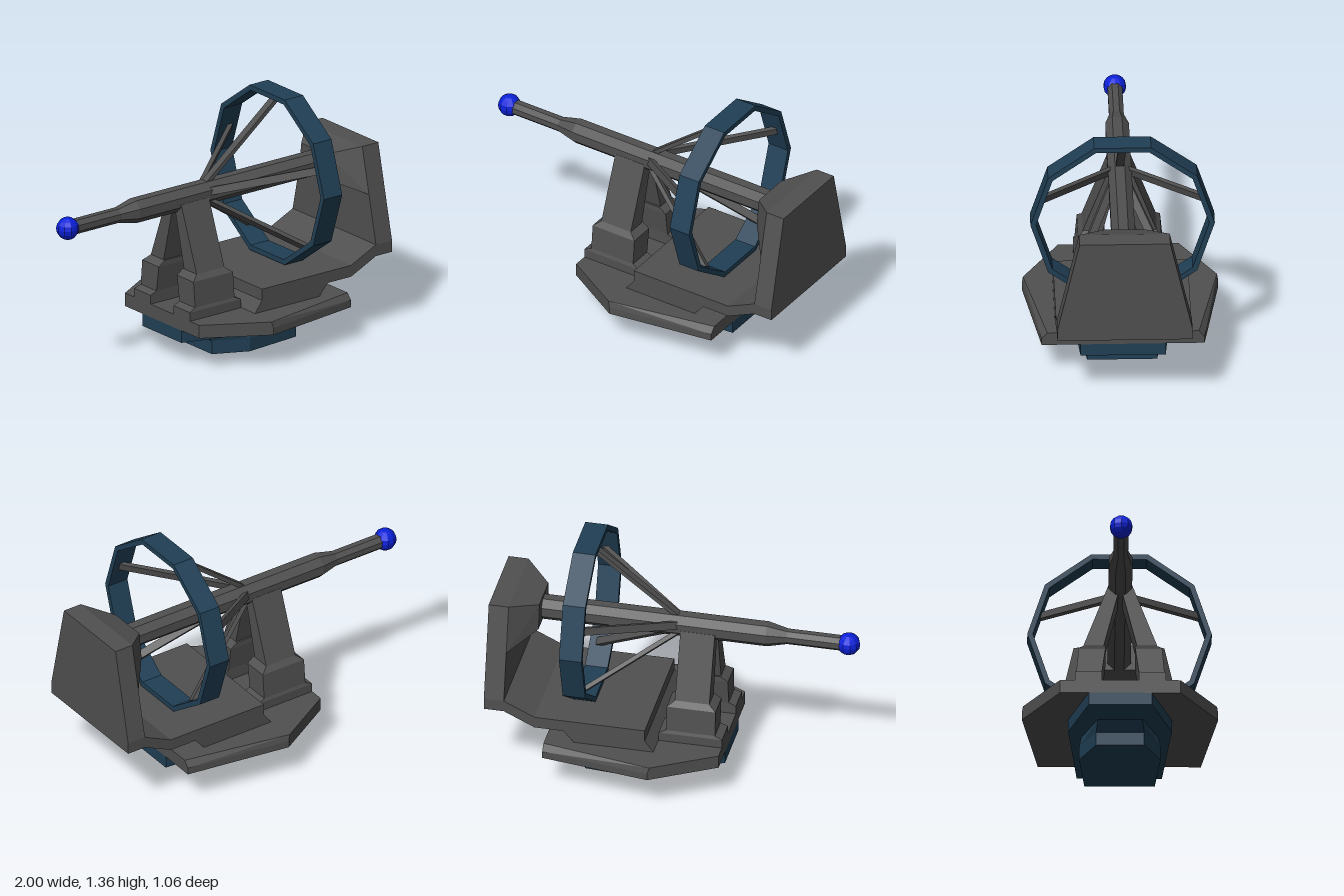
import * as THREE from 'three';
import { ConvexGeometry } from 'three/addons/geometries/ConvexGeometry.js';

const grey = new THREE.MeshStandardMaterial({ color: 0x505050, flatShading: true });
const navy = new THREE.MeshStandardMaterial({ color: 0x203f55, flatShading: true });
const blue = new THREE.MeshStandardMaterial({ color: 0x0a20d8, flatShading: true });

const AXIS_Y = 0.885;

export function createModel() {
  const model = new THREE.Group();
  model.name = 'turret';

  const add = (name, geometry, material = grey, parent = model) => {
    const mesh = new THREE.Mesh(geometry, material);
    mesh.name = name;
    parent.add(mesh);
    return mesh;
  };

  // Convex solid from points
  const hull = (points) => new ConvexGeometry(points.map((p) => new THREE.Vector3(...p)));

  // Outline mirrored over z at one height: list of [x, half width]
  const level = (y, outline) => outline.flatMap(([x, z]) => [[x, y, z], [x, y, -z]]);

  // Rectangle at one height
  const rect = (y, x0, x1, z0, z1) => [[x0, y, z0], [x1, y, z0], [x1, y, z1], [x0, y, z1]];

  // Pedestal, flared at the top
  const foot = [[-0.05, 0.13], [0.14, 0.22], [0.48, 0.19]];
  add('pedestalLower', hull([...level(0, foot), ...level(0.075, foot)]), navy);
  add('pedestalFlare', hull([
    ...level(0.075, foot), ...level(0.13, [[-0.1, 0.12], [0.14, 0.21], [0.51, 0.18]]),
  ]), navy);

  // Bearing plate under the deck
  const bearing = [[-0.29, 0.17], [0.06, 0.28], [0.66, 0.23]];
  add('bearingPlate', hull([...level(0.13, bearing), ...level(0.2, bearing)]), navy);

  // Deck with bevelled rear sides
  const deck = [[-0.29, 0.325], [0.06, 0.53], [0.66, 0.44]];
  add('deck', hull([...level(0.2, deck), ...level(0.24, deck)]));
  add('deckBevel', hull([
    ...level(0.24, deck),
    ...level(0.275, [[-0.29, 0.325], [0.05, 0.524], [0.06, 0.475], [0.66, 0.41]]),
  ]));

  // Arm carrying the counterweight
  const armShape = new THREE.Shape([
    [0.06, 0.272], [0.5, 0.272], [0.56, 0.34], [0.72, 0.34], [0.89, 0.42], [1, 0.42],
    [1, 0.485], [0.89, 0.485], [0.72, 0.405], [0.11, 0.405], [0.11, 0.34],
  ].map(([x, y]) => new THREE.Vector2(x, y)));
  const armGeometry = new THREE.ExtrudeGeometry(armShape, { depth: 0.73, bevelEnabled: false });
  armGeometry.translate(0, 0, -0.365);
  add('counterweightArm', armGeometry);

  // Counterweight slab and the neck that grips the barrel
  add('counterweight', hull([
    ...rect(0.485, 0.89, 1, -0.365, 0.365), ...rect(1.015, 0.89, 1, -0.245, 0.245),
  ]));
  add('barrelSocket', hull([
    [0.75, 0.965, 0.11], [0.75, 0.965, -0.11], [0.75, 0.82, 0.13], [0.75, 0.82, -0.13],
    [0.89, 1.015, 0.245], [0.89, 1.015, -0.245], [0.89, 0.755, 0.304], [0.89, 0.755, -0.304],
  ]));

  // Two leaning supports with stepped feet
  for (const s of [1, -1]) {
    const support = new THREE.Group();
    support.name = s > 0 ? 'leftSupport' : 'rightSupport';
    model.add(support);
    const part = (name, a, b) => add(name, hull([...a, ...b].map(([x, y, z]) => [x, y, z * s])), grey, support);
    part('foot', rect(0.27, -0.29, 0.06, 0.1, 0.245), rect(0.325, -0.29, 0.06, 0.1, 0.245));
    part('footBevel', rect(0.325, -0.29, 0.06, 0.1, 0.245), rect(0.342, -0.25, 0.02, 0.1, 0.238));
    part('block', rect(0.342, -0.25, 0.02, 0.1, 0.238), rect(0.485, -0.25, 0.02, 0.08, 0.225));
    part('blockBevel', rect(0.485, -0.25, 0.02, 0.08, 0.225), rect(0.515, -0.21, -0.02, 0.08, 0.2));
    part('leg', rect(0.515, -0.21, -0.02, 0.09, 0.2), rect(0.875, -0.21, -0.02, 0, 0.065));
  }

  // Barrel: eight sides, stepping down to a thin muzzle
  const profile = [[0, 0.8], [0.069, 0.8], [0.069, -0.49], [0.043, -0.6], [0.043, -0.92], [0, -0.92]];
  const barrelGeometry = new THREE.LatheGeometry(
    profile.map(([r, x]) => new THREE.Vector2(r, -x)), 8, Math.PI / 8);
  barrelGeometry.rotateZ(Math.PI / 2);
  add('barrel', barrelGeometry).position.y = AXIS_Y;

  // Ball at the muzzle
  add('muzzleBall', new THREE.SphereGeometry(0.063, 10, 8), blue).position.set(-0.937, AXIS_Y, 0);

  // Ten-sided ring around the barrel
  const decagon = (r) => Array.from({ length: 10 }, (_, i) =>
    new THREE.Vector2(r * Math.cos(i * Math.PI / 5), r * Math.sin(i * Math.PI / 5)));
  const ringShape = new THREE.Shape(decagon(0.498));
  ringShape.holes.push(new THREE.Path(decagon(0.468)));
  const ringGeometry = new THREE.ExtrudeGeometry(ringShape, { depth: 0.125, bevelEnabled: false });
  ringGeometry.rotateY(Math.PI / 2);
  add('ring', ringGeometry, navy).position.set(0.43, AXIS_Y, 0);

  // Five struts from the barrel to the ring
  const dx = 0.52, dr = 0.41;
  for (let i = 0; i < 5; i++) {
    const spoke = new THREE.Group();
    spoke.name = 'ringStrut';
    spoke.position.y = AXIS_Y;
    spoke.rotation.x = i * Math.PI * 2 / 5;
    model.add(spoke);
    const bar = add('strutBar', new THREE.BoxGeometry(0.024, Math.hypot(dx, dr), 0.043), grey, spoke);
    bar.position.set(dx / 2 - 0.01, 0.04 + dr / 2, 0);
    bar.rotation.z = -Math.atan2(dx, dr);
  }

  return model;
}
